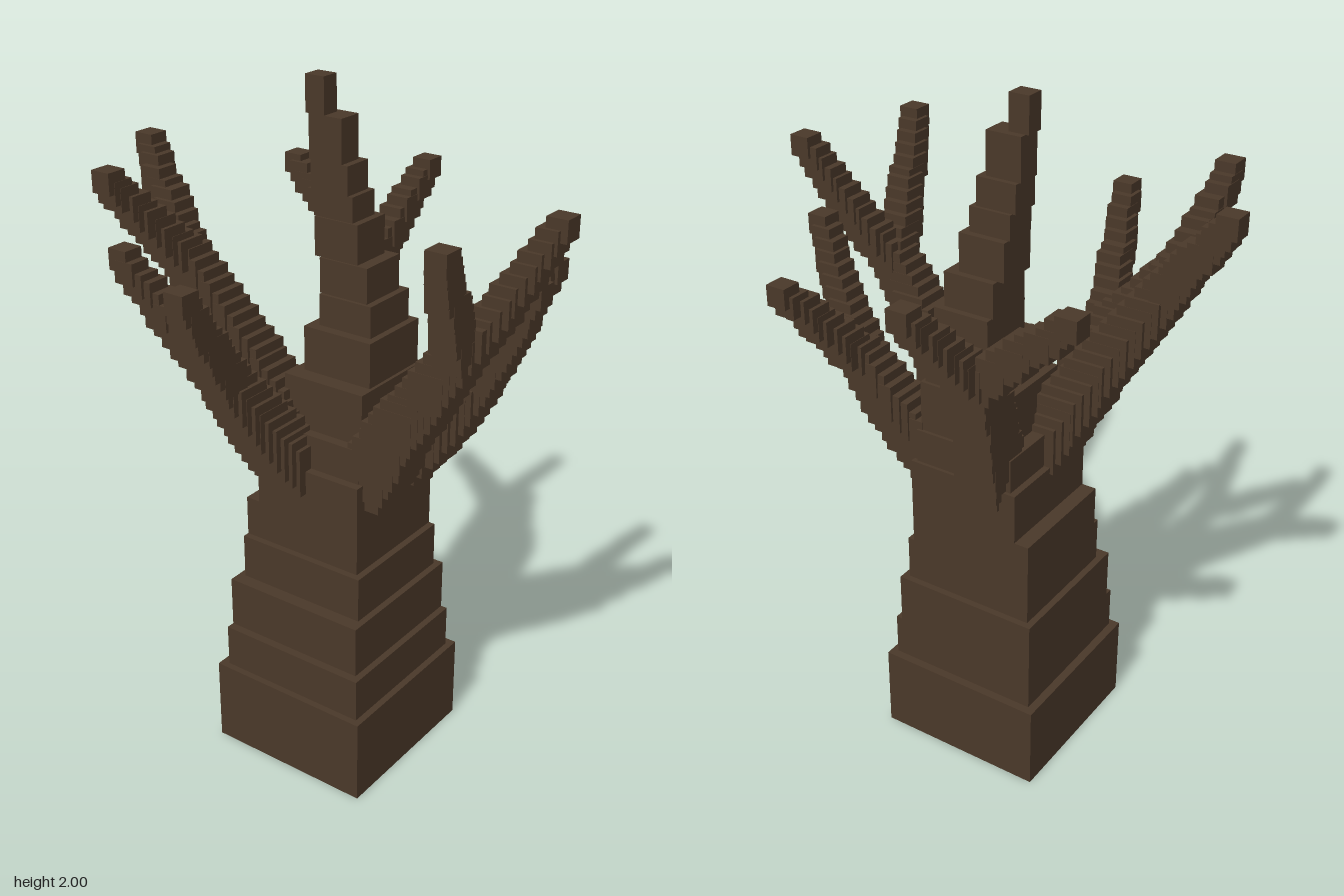
import * as THREE from 'three';

const bark = new THREE.MeshStandardMaterial({ color: 0x4a3829, flatShading: true });

// Box given by its limits on each axis
function block(parent, name, [y0, y1, x0, x1, z0, z1]) {
  const mesh = new THREE.Mesh(new THREE.BoxGeometry(x1 - x0, y1 - y0, z1 - z0), bark);
  mesh.position.set((x0 + x1) / 2, (y0 + y1) / 2, (z0 + z1) / 2);
  mesh.name = name;
  parent.add(mesh);
}

// Row of overlapping cubes along a path, shrinking from size a to size b
function limb(name, points, a, b) {
  const group = new THREE.Group();
  group.name = name;
  const path = new THREE.CurvePath();
  const v = points.map((p) => new THREE.Vector3(...p));
  for (let i = 1; i < v.length; i++) path.add(new THREE.LineCurve3(v[i - 1], v[i]));
  const n = Math.max(2, Math.round(path.getLength() / 0.036));
  const snap = (c) => Math.round(c / 0.01) * 0.01;
  for (let i = 0; i <= n; i++) {
    const t = i / n;
    const p = path.getPoint(t);
    const s = a + (b - a) * t;
    const cube = new THREE.Mesh(new THREE.BoxGeometry(s, s, s), bark);
    cube.position.set(snap(p.x), snap(p.y), snap(p.z));
    cube.name = name + 'Block';
    group.add(cube);
  }
  return group;
}

export function createModel() {
  const tree = new THREE.Group();
  tree.name = 'deadTree';

  // Stepped trunk: y0, y1, x0, x1, z0, z1
  const trunk = new THREE.Group();
  trunk.name = 'trunk';
  [
    [0, 0.26, -0.28, 0.235, -0.27, 0.245],
    [0.26, 0.39, -0.26, 0.21, -0.245, 0.225],
    [0.39, 0.545, -0.235, 0.21, -0.245, 0.205],
    [0.545, 0.68, -0.195, 0.19, -0.225, 0.185],
    [0.68, 0.8, -0.175, 0.19, -0.225, 0.165],
    [0.8, 0.95, -0.175, 0.19, -0.18, 0.165],
  ].forEach((b) => block(trunk, 'trunkTier', b));
  tree.add(trunk);

  // Tapering centre leader
  const leader = new THREE.Group();
  leader.name = 'leader';
  [
    [0.95, 1.05, -0.15, 0.18, -0.16, 0.15],
    [1.05, 1.2, -0.12, 0.17, -0.12, 0.14],
    [1.2, 1.33, -0.07, 0.16, -0.09, 0.13],
    [1.33, 1.42, -0.04, 0.14, -0.06, 0.11],
    [1.42, 1.52, -0.03, 0.12, -0.065, 0.09],
    [1.52, 1.63, -0.025, 0.1, -0.085, 0.055],
    [1.63, 1.7, -0.02, 0.08, -0.09, 0.035],
    [1.7, 1.78, -0.02, 0.07, -0.1, 0.02],
    [1.78, 1.9, -0.02, 0.055, -0.105, 0],
    [1.9, 2, -0.02, 0.035, -0.115, -0.055],
  ].forEach((b) => block(leader, 'leaderTier', b));
  tree.add(leader);

  // Forked branches: stem path, then the two twig tips
  const branches = [
    { name: 'rightBranch', stem: [[-0.13, 0.95, -0.08], [-0.23, 1.08, -0.13], [-0.33, 1.24, -0.15]],
      tips: [[[-0.575, 1.56, -0.07]], [[-0.385, 1.42, -0.3], [-0.425, 1.56, -0.4]]] },
    { name: 'leftBranch', stem: [[0.13, 0.96, -0.06], [0.24, 1.18, -0.12], [0.34, 1.36, -0.17]],
      tips: [[[0.575, 1.62, -0.125]], [[0.365, 1.46, -0.27], [0.385, 1.62, -0.46]]] },
    { name: 'backBranch', stem: [[-0.06, 1.0, -0.12], [-0.12, 1.24, -0.26], [-0.165, 1.48, -0.42]],
      tips: [[[-0.405, 1.75, -0.465]], [[-0.065, 1.75, -0.63]]] },
    { name: 'frontRightBranch', stem: [[-0.07, 0.94, 0.14], [-0.11, 1.16, 0.28], [-0.12, 1.38, 0.43]],
      tips: [[[-0.36, 1.73, 0.525]], [[-0.05, 1.54, 0.53], [0.01, 1.73, 0.63]]] },
    { name: 'frontLeftBranch', stem: [[0.08, 0.93, 0.13], [0.13, 1.08, 0.26], [0.15, 1.2, 0.34]],
      tips: [[[0.38, 1.47, 0.415]], [[0.1, 1.38, 0.46], [0.05, 1.53, 0.55]]] },
  ];
  for (const { name, stem, tips } of branches) {
    const group = new THREE.Group();
    group.name = name;
    group.add(limb('stem', stem, 0.14, 0.095));
    const fork = stem[stem.length - 1];
    tips.forEach((tip) => group.add(limb('twig', [fork, ...tip], 0.09, 0.06)));
    tree.add(group);
  }
  return tree;
}
